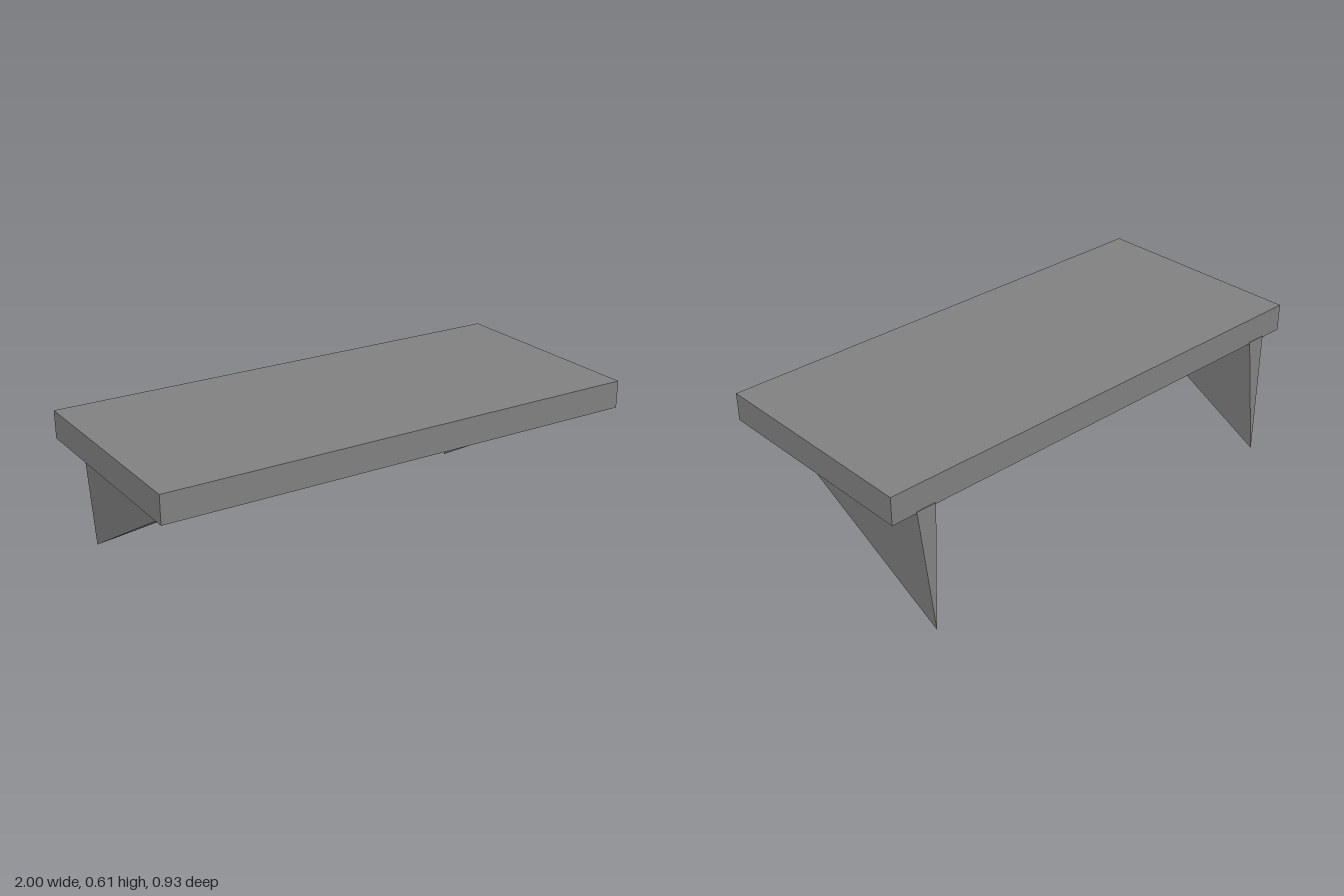
import * as THREE from 'three';

const grey = new THREE.MeshStandardMaterial({ color: 0x808080 });
grey.name = 'plain grey';

// Inverted four-sided pyramid whose tip is sheared to the back
function bracketGeometry() {
  const width = 0.082, topY = 0.506, frontZ = 0.41, backZ = -0.438, tipZ = -0.465;
  const midZ = (frontZ + backZ) / 2;
  let g = new THREE.ConeGeometry(Math.SQRT1_2, 1, 4, 1, false, Math.PI / 4);
  g.rotateX(Math.PI);
  g.translate(0, 0.5, 0);
  g.scale(width, topY, frontZ - backZ);
  g = g.toNonIndexed();
  const p = g.attributes.position;
  for (let i = 0; i < p.count; i++) {
    const t = p.getY(i) / topY;
    p.setZ(i, p.getZ(i) + tipZ + (midZ - tipZ) * t);
  }
  g.computeVertexNormals();
  return g;
}

export function createModel() {
  const group = new THREE.Group();
  group.name = 'wallShelf';

  // Shelf board
  const board = new THREE.Mesh(new THREE.BoxGeometry(2, 0.112, 0.9), grey);
  board.name = 'shelfBoard';
  board.position.set(0, 0.555, 0.015);
  group.add(board);

  // Pair of supporting brackets
  const geometry = bracketGeometry();
  for (const side of [-1, 1]) {
    const bracket = new THREE.Mesh(geometry, grey);
    bracket.name = side > 0 ? 'leftBracket' : 'rightBracket';
    bracket.position.x = side * 0.858;
    group.add(bracket);
  }
  return group;
}
